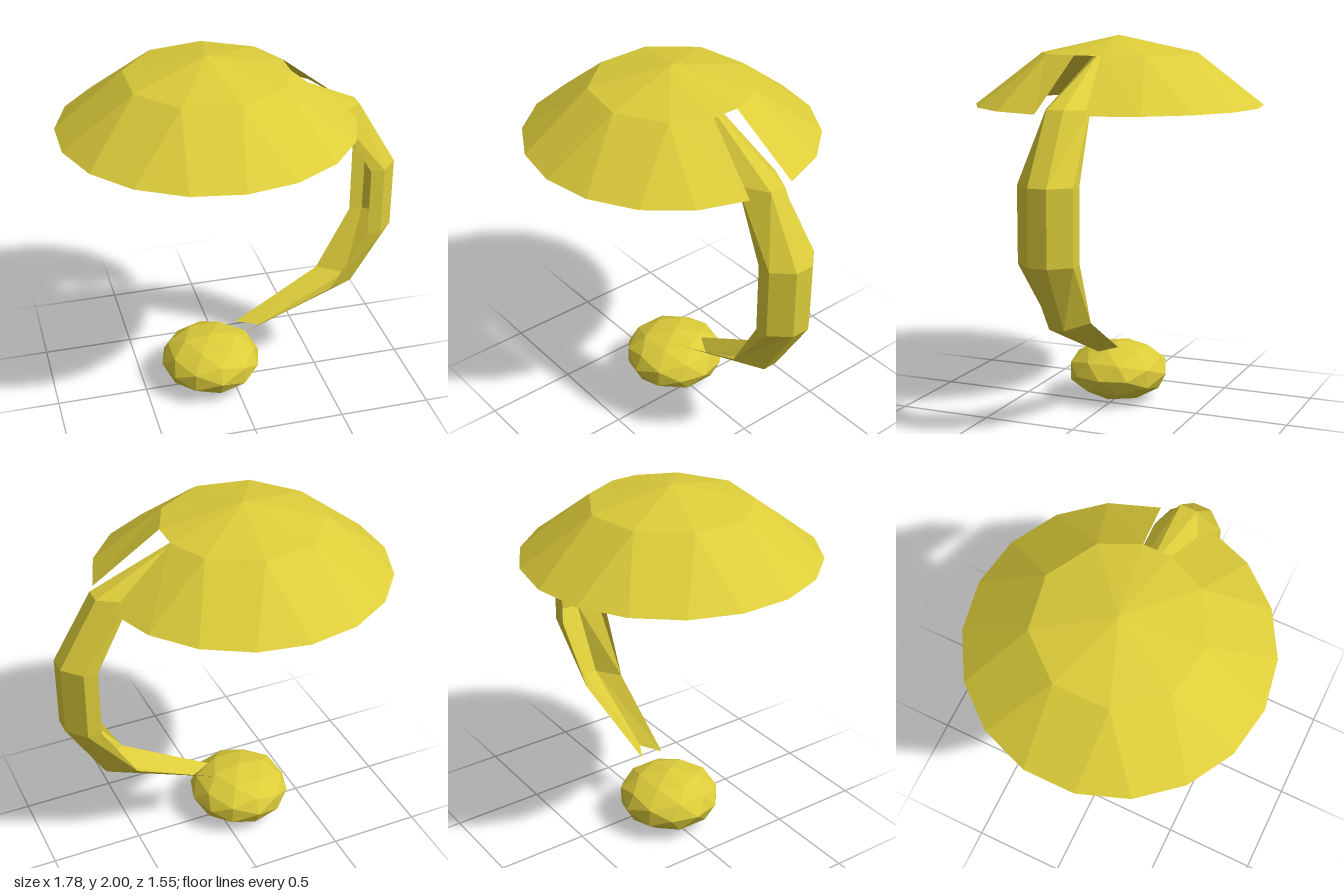
import * as THREE from 'three';

const yellow = new THREE.MeshStandardMaterial({ color: 0xdccc3a, flatShading: true, side: THREE.DoubleSide });
yellow.name = 'mustardYellow';

// Flat-shaded surface from a list of polygons (each a counter-clockwise loop of Vector3)
function facets(name, polygons) {
  const points = [];
  for (const loop of polygons) {
    for (let i = 1; i < loop.length - 1; i++) points.push(loop[0], loop[i], loop[i + 1]);
  }
  const geometry = new THREE.BufferGeometry().setFromPoints(points);
  geometry.computeVertexNormals();
  const mesh = new THREE.Mesh(geometry, yellow);
  mesh.name = name;
  return mesh;
}

// Shallow canopy: ten-sided cap, eighteen-sided rim, one panel left open on the +x side
function createCanopy() {
  const cx = -0.13;
  const at = (radius, y, degrees) => {
    const a = THREE.MathUtils.degToRad(degrees);
    return new THREE.Vector3(cx + radius * Math.cos(a), y, -radius * Math.sin(a));
  };
  const cap = (deg) => at(0.427, 1.905, deg);
  const rim = (deg) => at(0.775, 1.63, deg);
  const apex = new THREE.Vector3(cx, 2, 0);
  const capAngles = [10, 40, 80, 120, 160, 200, 240, 280, 320, 350];
  const polygons = [];
  capAngles.forEach((a, i) => {
    const last = i === capAngles.length - 1;
    const b = last ? 370 : capAngles[i + 1];
    polygons.push([apex, cap(a), cap(b)]);
    if (last) return;
    const start = a === 10 ? 10 : a + 10;
    const end = b === 350 ? 350 : b - 10;
    polygons.push([cap(a), rim(start), rim(end), cap(b)]);
    if (b !== 350) polygons.push([cap(b), rim(b - 10), rim(b + 10)]);
  });
  return facets('canopy', polygons);
}

// Curved arm: an open channel, swept through mirrored half sections
function createArm() {
  // Half sections as [x, y, z]: inner lip, side, outer spine
  const sections = [
    [[0.04, 0.33, 0.065], [0.04, 0.33, 0.065], [0.16, 0.33, 0]],
    [[0.53, 0.583, 0.12], [0.53, 0.583, 0.12], [0.68, 0.57, 0.04]],
    [[0.725, 0.92, 0.148], [0.8, 0.92, 0.148], [0.89, 0.92, 0.05]],
    [[0.725, 1.305, 0.148], [0.8, 1.305, 0.148], [0.89, 1.305, 0.05]],
    [[0.53, 1.65, 0.12], [0.53, 1.65, 0.12], [0.68, 1.66, 0.045]],
    [[0.03, 1.905, 0.068], [0.03, 1.905, 0.068], [0.16, 1.905, 0]],
  ];
  const rows = sections.map((half) => {
    const front = half.map(([x, y, z]) => new THREE.Vector3(x, y, z));
    const back = half.map(([x, y, z]) => new THREE.Vector3(x, y, -z)).reverse();
    return [...front, ...back];
  });
  const polygons = [];
  for (let i = 0; i < rows.length - 1; i++) {
    for (let j = 0; j < 5; j++) {
      const [a, b, c, d] = [rows[i][j], rows[i][j + 1], rows[i + 1][j + 1], rows[i + 1][j]];
      // Drop the side that has collapsed to a point
      const loop = [a, b, c, d].filter((p, k, all) => !p.equals(all[(k + 1) % 4]));
      if (loop.length > 2) polygons.push(loop);
    }
  }
  return facets('curvedArm', polygons);
}

// Squashed faceted ball on the ground
function createBall() {
  const geometry = new THREE.IcosahedronGeometry(1, 1);
  geometry.scale(0.28, 0.16, 0.28);
  const ball = new THREE.Mesh(geometry, yellow);
  ball.position.set(-0.123, 0.16, 0);
  ball.name = 'flattenedBall';
  return ball;
}

export function createModel() {
  const model = new THREE.Group();
  model.name = 'canopyOnArm';
  model.add(createCanopy(), createArm(), createBall());
  return model;
}
